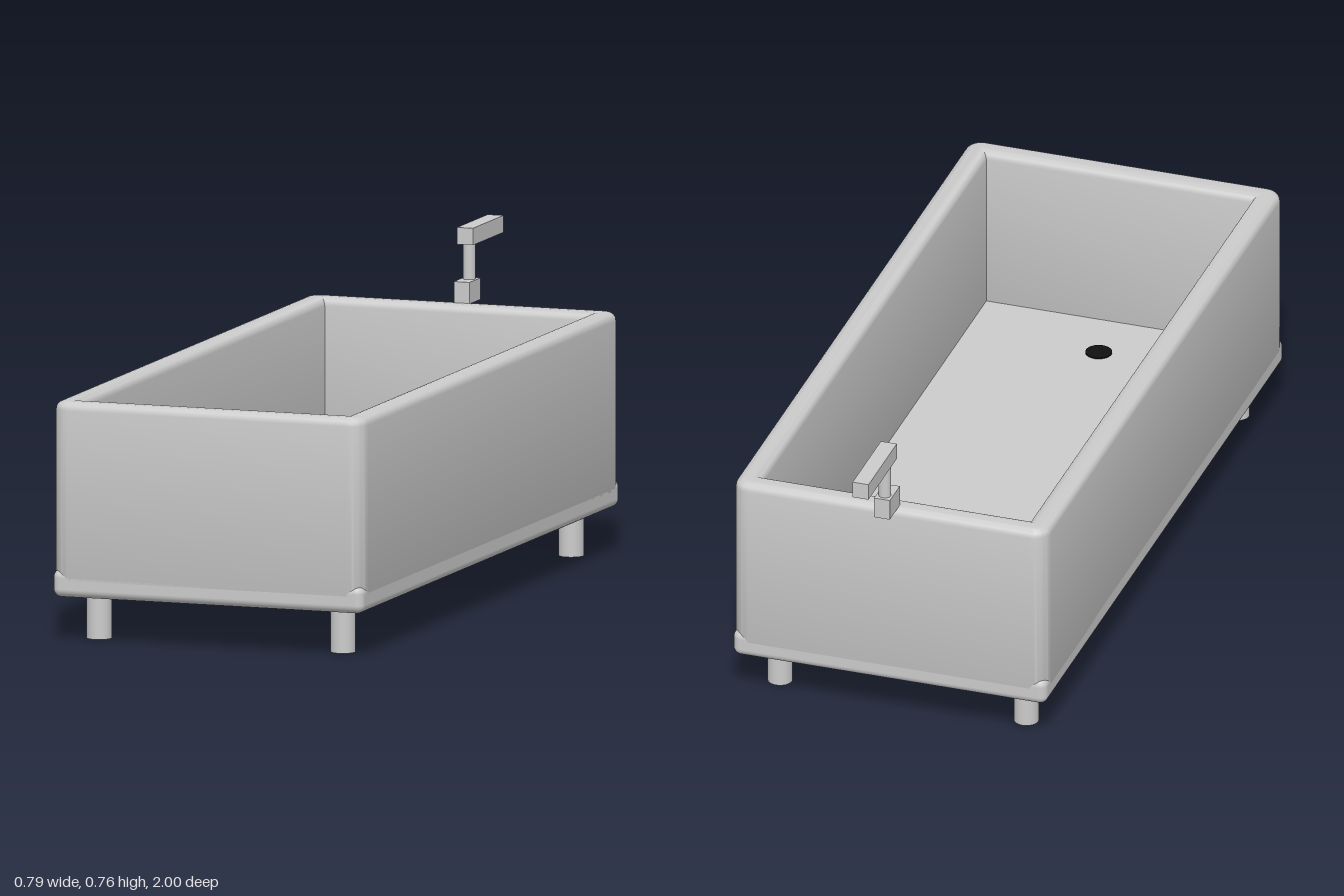
import * as THREE from 'three';
import { RoundedBoxGeometry } from 'three/addons/geometries/RoundedBoxGeometry.js';
import { toCreasedNormals } from 'three/addons/utils/BufferGeometryUtils.js';

const grey = new THREE.MeshStandardMaterial({ color: 0xcccccc });
const black = new THREE.MeshStandardMaterial({ color: 0x111111 });

export function createModel() {
  const model = new THREE.Group();

  const add = (name, geometry, x, y, z, material = grey, parent = model) => {
    const mesh = new THREE.Mesh(geometry, material);
    mesh.name = name;
    mesh.position.set(x, y, z);
    parent.add(mesh);
    return mesh;
  };

  // Tub dimensions
  const width = 0.79, length = 1.79, top = 0.58, bottom = 0.108;
  const floorY = 0.175, wall = 0.06, bevel = 0.02, centreZ = 0.105;

  // Walls: a rectangular ring with rounded rim and corners
  const hw = width / 2 - bevel, hl = length / 2 - bevel, r = 0.02;
  const ring = new THREE.Shape();
  ring.moveTo(-hw + r, -hl);
  ring.lineTo(hw - r, -hl);
  ring.absarc(hw - r, -hl + r, r, -Math.PI / 2, 0);
  ring.absarc(hw - r, hl - r, r, 0, Math.PI / 2);
  ring.absarc(-hw + r, hl - r, r, Math.PI / 2, Math.PI);
  ring.absarc(-hw + r, -hl + r, r, Math.PI, Math.PI * 1.5);
  const iw = width / 2 - wall + bevel, il = length / 2 - wall + bevel;
  ring.holes.push(new THREE.Path([
    new THREE.Vector2(-iw, -il), new THREE.Vector2(-iw, il),
    new THREE.Vector2(iw, il), new THREE.Vector2(iw, -il),
  ]));
  const wallBase = 0.13;
  const walls = new THREE.ExtrudeGeometry(ring, {
    depth: top - wallBase - 2 * bevel, curveSegments: 6,
    bevelSize: bevel, bevelThickness: bevel, bevelSegments: 5,
  });
  walls.rotateX(-Math.PI / 2);
  add('tubWalls', toCreasedNormals(walls, 0.7), 0, wallBase + bevel, centreZ);

  // Floor slab with rounded edges
  add('tubFloor', new RoundedBoxGeometry(width, floorY - bottom, length, 5, bevel),
    0, (floorY + bottom) / 2, centreZ);

  // Drain
  add('drain', new THREE.CylinderGeometry(0.032, 0.032, 0.004, 32), 0, floorY + 0.001, 0.785, black);

  // Four round legs
  const legGeometry = new THREE.CylinderGeometry(0.03, 0.03, 0.12, 32);
  for (const x of [-0.31, 0.31]) {
    for (const z of [-0.68, 0.9]) add('leg', legGeometry, x, 0.06, z);
  }

  // Faucet on the back rim
  const faucet = new THREE.Group();
  faucet.name = 'faucet';
  model.add(faucet);
  add('faucetBase', new THREE.BoxGeometry(0.04, 0.052, 0.075), 0, 0.605, -0.803, grey, faucet);
  add('faucetStem', new THREE.CylinderGeometry(0.015, 0.015, 0.1, 24), 0, 0.675, -0.818, grey, faucet);
  add('faucetSpout', new THREE.BoxGeometry(0.04, 0.041, 0.212), 0, 0.738, -0.894, grey, faucet);

  return model;
}
